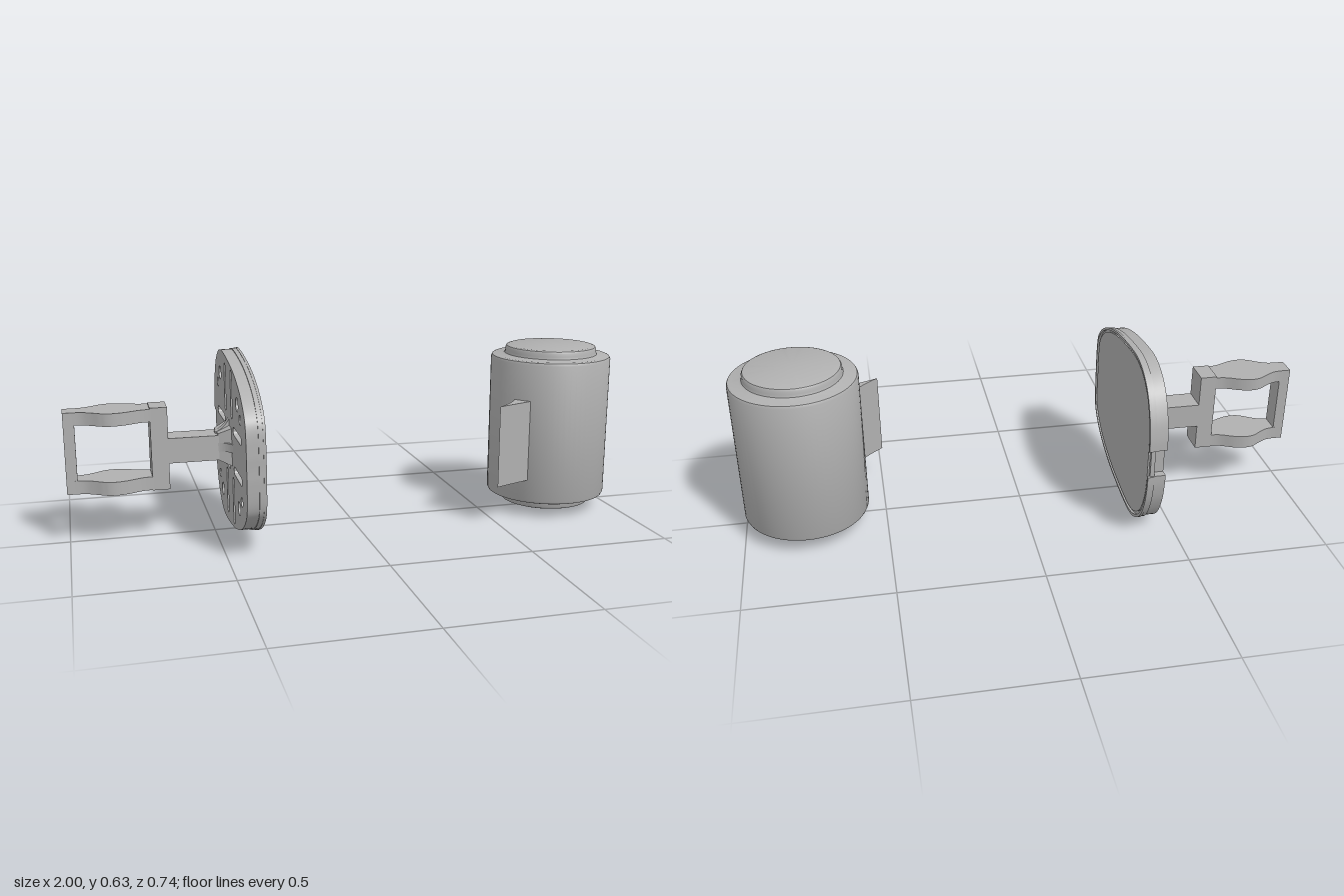
import * as THREE from 'three';
import { toCreasedNormals } from 'three/addons/utils/BufferGeometryUtils.js';

const grey = new THREE.MeshStandardMaterial({ color: 0xb0b0b0 });
grey.name = 'plain grey';
const MID_Y = 0.315;
const AXIS_Z = -0.01;
const V = (x, y) => new THREE.Vector2(x, y);

function add(parent, name, geometry, x = 0, y = 0, z = 0) {
  const mesh = new THREE.Mesh(geometry, grey);
  mesh.name = name;
  mesh.position.set(x, y, z);
  parent.add(mesh);
  return mesh;
}

function extrude(shape, depth) {
  return new THREE.ExtrudeGeometry(shape, { depth, bevelEnabled: false, curveSegments: 16 });
}

// Side profile (-z, y) extruded along x
function sideSlab(shape, x0, x1) {
  const g = extrude(shape, x1 - x0).rotateY(Math.PI / 2).translate(x0, 0, 0);
  return toCreasedNormals(g, 0.5);
}

// Plan profile (x, -z) extruded upwards
function planSlab(shape, y0, y1) {
  const g = extrude(shape, y1 - y0).rotateX(-Math.PI / 2).translate(0, y0, 0);
  return toCreasedNormals(g, 0.5);
}

// Rounded plate outline, open at the rear notch, scaled about its middle
function plateOutline(scale) {
  const top = new THREE.SplineCurve([
    V(0.369, 0.05), V(0.366, 0.1), V(0.35, 0.167), V(0.31, 0.24), V(0.25, 0.288), V(0.18, 0.311),
    V(0.1, 0.312), V(0, 0.302), V(-0.1, 0.286), V(-0.2, 0.258), V(-0.28, 0.222), V(-0.34, 0.175),
    V(-0.363, 0.13), V(-0.37, 0.05), V(-0.37, 0.01),
  ]).getPoints(56);
  const bottom = top.slice().reverse().map((p) => V(p.x, -p.y));
  return [...top, ...bottom].map((p) => V(p.x * scale, MID_Y + p.y * scale));
}

function plateShape(scale, notch) {
  const pts = plateOutline(scale);
  if (notch) pts.push(V(notch, MID_Y - 0.05), V(notch, MID_Y + 0.05));
  return new THREE.Shape(pts);
}

function roundHole(x, y, r) {
  return new THREE.Path().absarc(x, y, r, 0, Math.PI * 2, true);
}

// Round-ended slot between two ends along one axis
function slotHole(x, y, length, r, vertical) {
  const p = new THREE.Path();
  const h = length / 2 - r;
  if (vertical) {
    p.absarc(x, y + h, r, 0, Math.PI, false);
    p.absarc(x, y - h, r, Math.PI, Math.PI * 2, false);
  } else {
    p.absarc(x + h, y, r, -Math.PI / 2, Math.PI / 2, false);
    p.absarc(x - h, y, r, Math.PI / 2, Math.PI * 1.5, false);
  }
  p.closePath();
  return p;
}

function buildPlate() {
  const plate = new THREE.Group();
  plate.name = 'mountingPlate';

  // Back layer with blind slots and screw holes
  const back = plateShape(0.985, 0.335);
  for (const s of [-1, 1]) {
    for (const t of [-1, 1]) {
      back.holes.push(slotHole(s * 0.07, MID_Y + t * 0.19, 0.17, 0.014, true));
      back.holes.push(slotHole(s * 0.18, MID_Y + t * 0.07, 0.17, 0.014, false));
      const front = s < 0;
      back.holes.push(roundHole(s * 0.19, MID_Y + t * (front ? 0.18 : 0.22), 0.024));
      back.holes.push(roundHole(s * 0.25, MID_Y + t * (front ? 0.14 : 0.175), 0.017));
    }
  }
  add(plate, 'plateBack', sideSlab(back, -0.44, -0.4));
  add(plate, 'plateCore', sideSlab(plateShape(0.995, 0.362), -0.4, -0.385));

  // Thin raised lip, broken at the notch
  const lip = new THREE.Shape([...plateOutline(1), ...plateOutline(0.972).reverse()]);
  add(plate, 'plateLip', sideSlab(lip, -0.385, -0.376));
  add(plate, 'platePad', sideSlab(plateShape(0.945), -0.385, -0.379));
  return plate;
}

function buildBracket() {
  const bracket = new THREE.Group();
  bracket.name = 'bracket';

  // Stem and square flare where it meets the plate
  add(bracket, 'stem', new THREE.BoxGeometry(0.23, 0.088, 0.096), -0.555, MID_Y - 0.003, AXIS_Z);
  const flare = new THREE.CylinderGeometry(0.066, 0.095, 0.045, 4, 1)
    .rotateY(Math.PI / 4).rotateZ(Math.PI / 2);
  add(bracket, 'stemFlare', toCreasedNormals(flare, 0.3), -0.4625, MID_Y, AXIS_Z);

  // Crossed gussets with concave edges
  const gusset = new THREE.Shape();
  gusset.moveTo(-0.435, -0.1);
  gusset.lineTo(-0.435, 0.1);
  gusset.quadraticCurveTo(-0.455, 0.058, -0.49, 0.046);
  gusset.lineTo(-0.49, -0.046);
  gusset.quadraticCurveTo(-0.455, -0.058, -0.435, -0.1);
  const upright = toCreasedNormals(extrude(gusset, 0.03).translate(0, 0, -0.015), 0.5);
  add(bracket, 'gussetUpright', upright, 0, MID_Y, AXIS_Z);
  add(bracket, 'gussetLevel', upright.clone().rotateX(Math.PI / 2), 0, MID_Y, AXIS_Z);

  // Bulging upper and lower bars of the loop
  const edge = new THREE.SplineCurve([
    V(-1, 0.035), V(-0.945, 0.037), V(-0.91, 0.052), V(-0.87, 0.077), V(-0.835, 0.083),
    V(-0.795, 0.074), V(-0.75, 0.054), V(-0.71, 0.048), V(-0.655, 0.048),
  ]).getPoints(32);
  const bar = new THREE.Shape([
    ...edge.map((p) => V(p.x, p.y - AXIS_Z)),
    ...edge.slice().reverse().map((p) => V(p.x, -p.y - AXIS_Z)),
  ]);
  add(bracket, 'loopTopBar', planSlab(bar, 0.418, 0.462));
  add(bracket, 'loopBottomBar', planSlab(bar, 0.178, 0.225));

  // Loop posts
  add(bracket, 'loopOuterPost', new THREE.BoxGeometry(0.037, 0.2, 0.07), -0.9815, 0.32, AXIS_Z);
  add(bracket, 'loopInnerPost', new THREE.BoxGeometry(0.059, 0.29, 0.096), -0.6845, 0.321, AXIS_Z);
  return bracket;
}

function buildCanister() {
  const canister = new THREE.Group();
  canister.name = 'canister';

  // Lower half of the profile, mirrored for the top
  const half = [
    V(0, 0.298), V(0.155, 0.298), V(0.163, 0.295), V(0.167, 0.288), V(0.167, 0.277),
    V(0.17, 0.268), V(0.178, 0.264), V(0.208, 0.264), V(0.216, 0.261), V(0.22, 0.252),
  ];
  const profile = [
    ...half.map((p) => V(p.x, -p.y)),
    ...half.slice().reverse(),
  ];
  const body = toCreasedNormals(new THREE.LatheGeometry(profile, 64), 0.6);
  add(canister, 'canisterBody', body, 0.78, 0.317, AXIS_Z);

  // Tapered side tab
  const tab = new THREE.Shape();
  tab.moveTo(0.492, -0.208);
  tab.quadraticCurveTo(0.56, -0.18, 0.64, -0.15);
  tab.lineTo(0.62, -0.08);
  tab.lineTo(0.588, -0.11);
  tab.quadraticCurveTo(0.565, -0.15, 0.492, -0.208);
  add(canister, 'sideTab', planSlab(tab, 0.142, 0.438));
  return canister;
}

export function createModel() {
  const model = new THREE.Group();
  model.name = 'plateAndCanister';
  model.add(buildPlate(), buildBracket(), buildCanister());
  return model;
}
